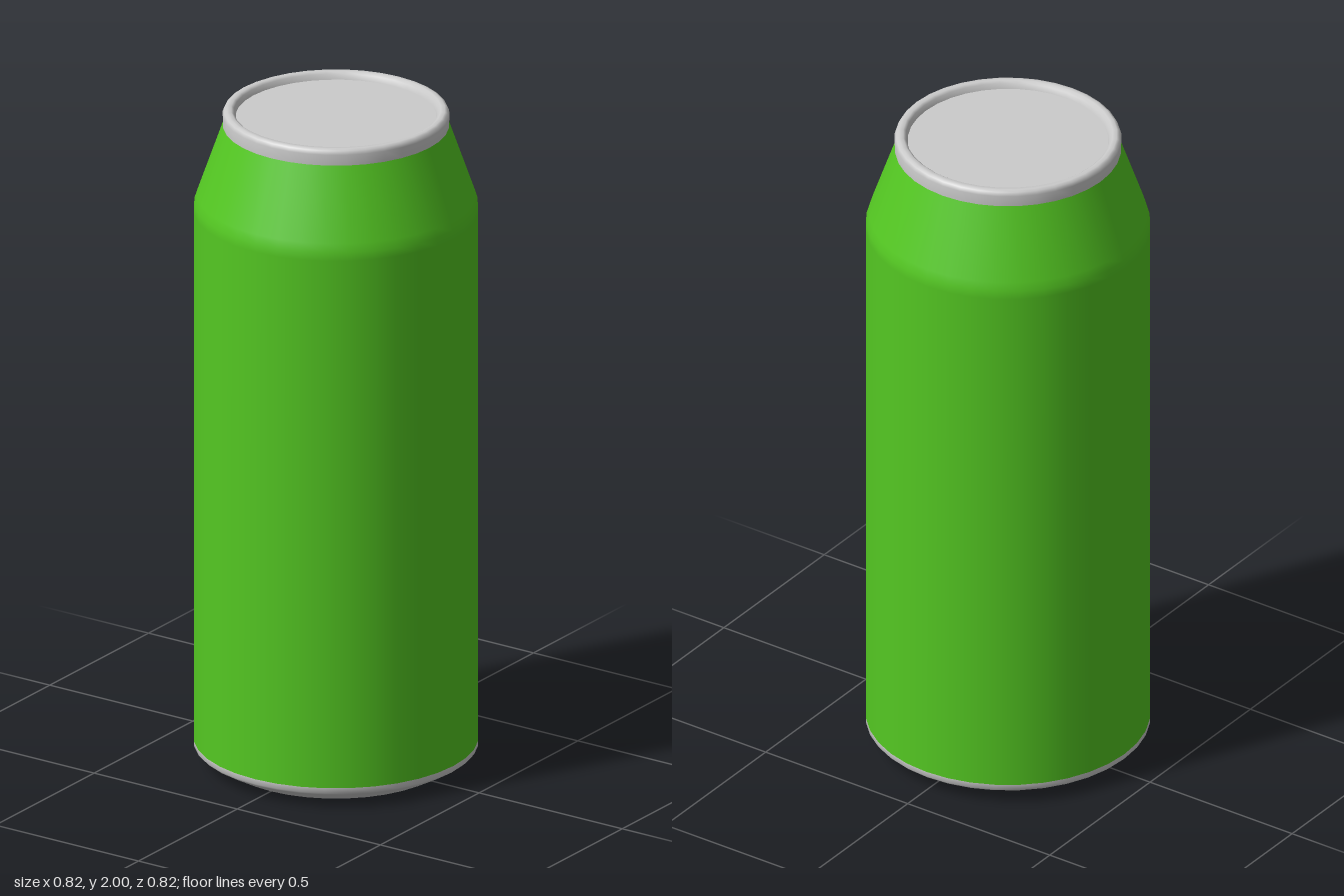
import * as THREE from 'three';

const SIDES = 36;

// Turned surface from [radius, height] pairs, running from bottom outside to top inside
function turned(name, material, profile) {
  const points = profile.map(([r, y]) => new THREE.Vector2(r, y));
  const mesh = new THREE.Mesh(new THREE.LatheGeometry(points, SIDES), material);
  mesh.name = name;
  return mesh;
}

// Flat round panel, facing up (1) or down (-1)
function disc(name, material, radius, y, facing) {
  const geometry = new THREE.CircleGeometry(radius, SIDES);
  geometry.rotateX(-facing * Math.PI / 2);
  const mesh = new THREE.Mesh(geometry, material);
  mesh.name = name;
  mesh.position.y = y;
  return mesh;
}

export function createModel() {
  const can = new THREE.Group();
  can.name = 'drinkCan';
  const metal = new THREE.MeshStandardMaterial({ color: 0xcccccc });
  const paint = new THREE.MeshStandardMaterial({ color: 0x54c822 });

  can.add(
    // Bare metal foot with a sloped edge
    disc('bottomPanel', metal, 0.33, 0, -1),
    turned('bottomEdge', metal, [[0.33, 0], [0.402, 0.04], [0.41, 0.048], [0.41, 0.063]]),

    // Painted wall and tapered shoulder, softened where they meet
    turned('body', paint, [[0.41, 0.063], [0.41, 1.69], [0.408, 1.715], [0.4, 1.74], [0.326, 1.952]]),

    // Rolled rim around the slightly sunken lid
    turned('rim', metal, [
      [0.326, 1.952], [0.327, 1.985], [0.322, 1.996], [0.314, 2],
      [0.302, 2], [0.294, 1.994], [0.289, 1.978],
    ]),
    disc('lid', metal, 0.289, 1.978, 1),
  );
  return can;
}
